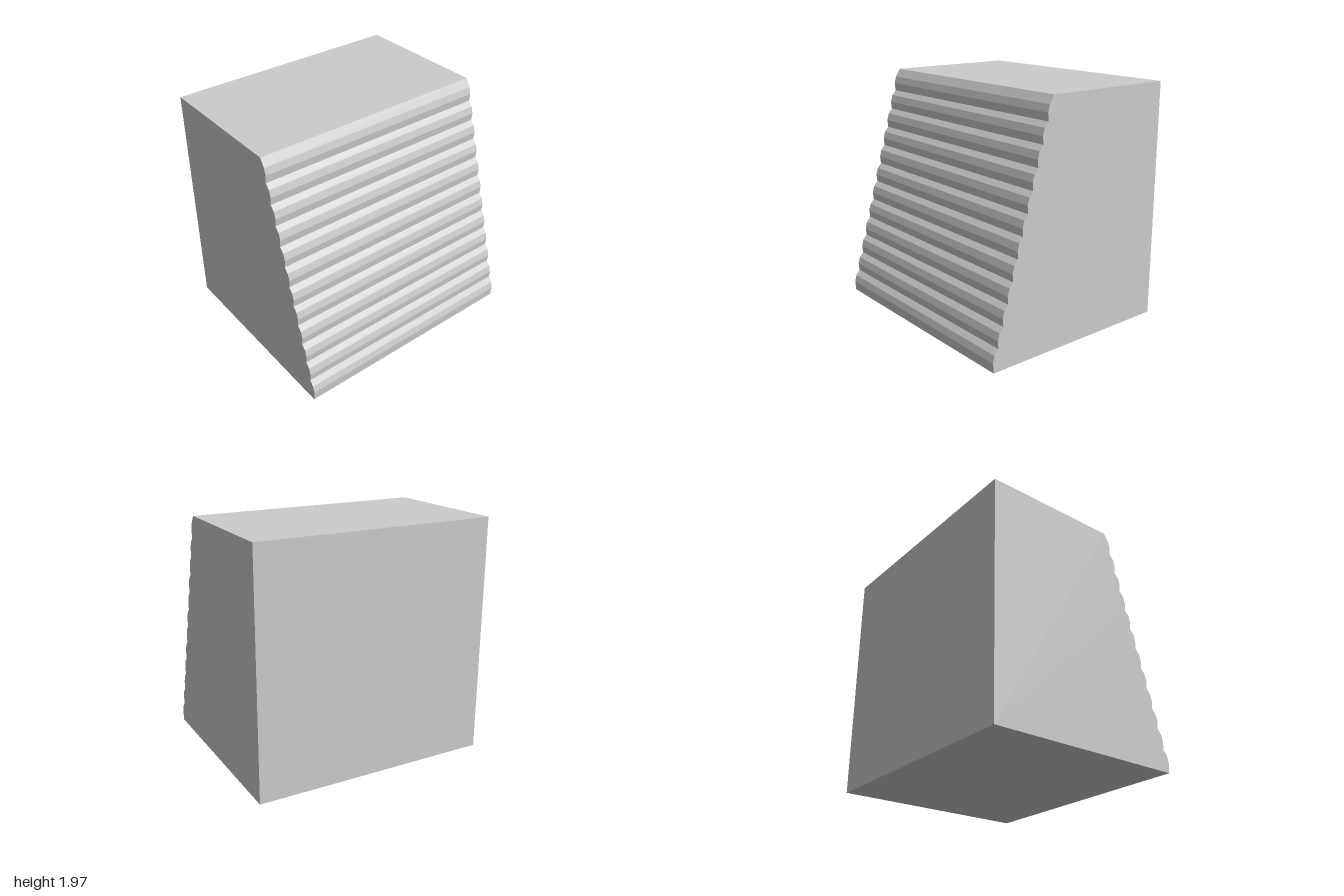
import * as THREE from 'three';

export function createModel() {
  const group = new THREE.Group();
  const backZ = -0.846, topY = 1.965, pitch = 0.16, setBack = 0.045;

  // Side profile drawn as (z, y): a block whose sloping front is a stack of faceted ridges
  const profile = new THREE.Shape();
  profile.moveTo(backZ, 0);
  profile.lineTo(0.841, 0);

  // Bottom ridge, slightly taller than the rest
  profile.lineTo(0.847, 0.08);
  profile.lineTo(0.832, 0.137);
  profile.lineTo(0.797, 0.18);

  // Repeating ridges, each set back from the one below
  for (let i = 0; i < 10; i++) {
    const z = 0.797 - setBack * i, y = 0.18 + pitch * i;
    profile.lineTo(z + 0.006, y + 0.062);
    profile.lineTo(z - 0.01, y + 0.12);
    profile.lineTo(z - setBack, y + pitch);
  }

  // Top ridge up to the flat roof
  profile.lineTo(0.353, 1.843);
  profile.lineTo(0.338, 1.9);
  profile.lineTo(0.297, topY);
  profile.lineTo(backZ, topY);
  profile.closePath();

  // Extrude across the width and turn the profile to face +z
  const geometry = new THREE.ExtrudeGeometry(profile, { depth: 2, bevelEnabled: false });
  geometry.translate(0, 0, -1);
  geometry.rotateY(-Math.PI / 2);

  const block = new THREE.Mesh(
    geometry,
    new THREE.MeshStandardMaterial({ color: 0xcccccc, flatShading: true })
  );
  block.name = 'ridgedBlock';
  group.add(block);
  return group;
}
